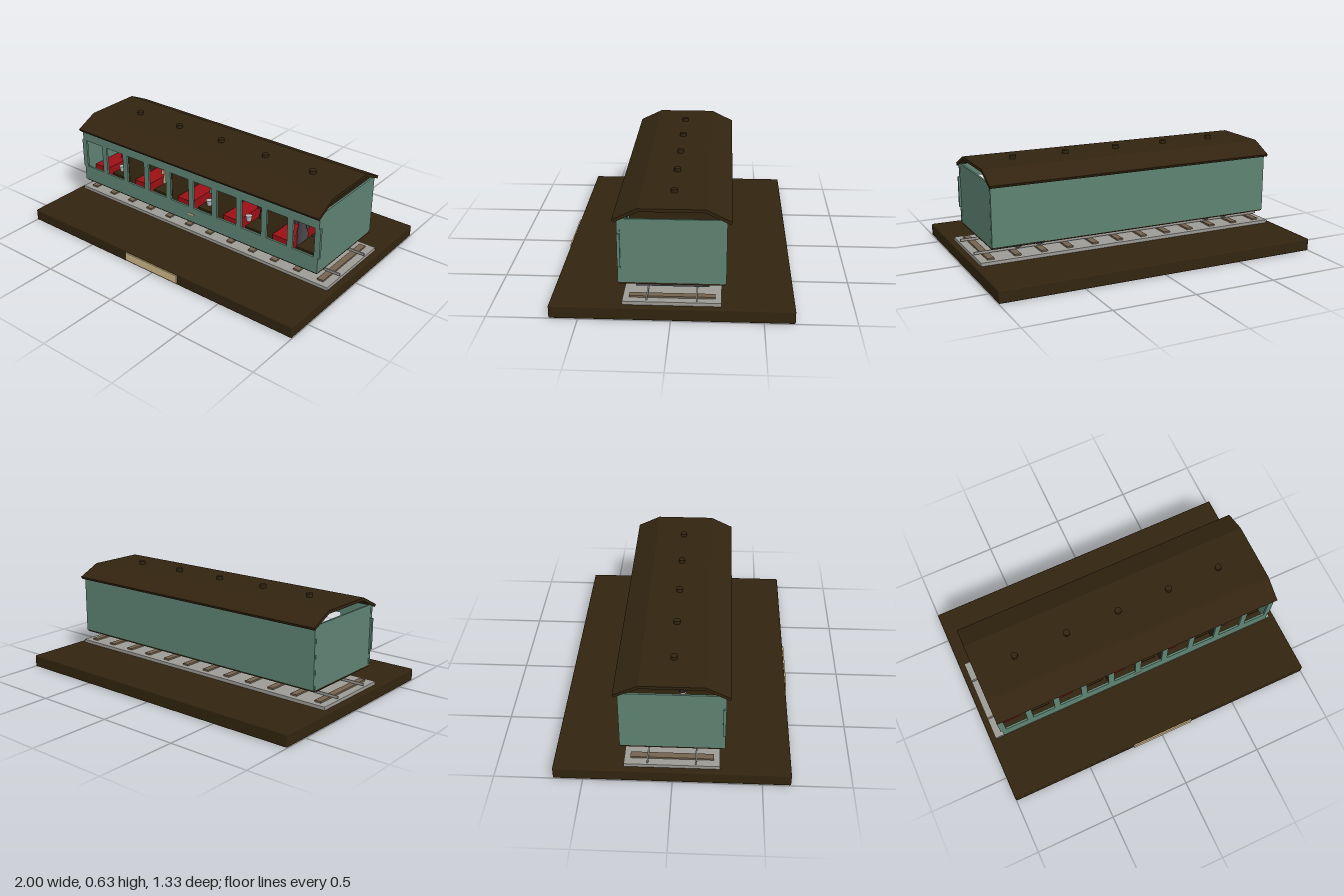
import * as THREE from 'three';
import { RoundedBoxGeometry } from 'three/addons/geometries/RoundedBoxGeometry.js';

export function createModel() {
  const model = new THREE.Group();
  const mat = (name, color) => {
    const m = new THREE.MeshStandardMaterial({ color });
    m.name = name;
    return m;
  };
  const green = mat('carriage green', 0x5e8373);
  const brown = mat('dark brown wood', 0x32240f);
  const stone = mat('ballast grey', 0x9d9b96);
  const wood = mat('sleeper wood', 0x75634f);
  const red = mat('seat red', 0x9c1014);
  const iron = mat('dark iron', 0x48464a);
  const cream = mat('cream', 0xcfb98a);
  const skin = mat('skin', 0xc49a7c);
  const paper = mat('paper white', 0xb9bdc0);
  const cloth = mat('dark cloth', 0x1f1c1e);

  // Everything but the plaque is centred slightly behind the origin
  const body = new THREE.Group();
  body.name = 'carriageDisplay';
  body.position.z = -0.004;
  model.add(body);

  const add = (name, geometry, material, x, y, z, parent = body) => {
    const m = new THREE.Mesh(geometry, material);
    m.name = name;
    m.position.set(x, y, z);
    parent.add(m);
    return m;
  };
  // Box given by its limits on each axis
  const box = (name, material, x0, x1, y0, y1, z0, z1) =>
    add(name, new THREE.BoxGeometry(x1 - x0, y1 - y0, z1 - z0), material,
      (x0 + x1) / 2, (y0 + y1) / 2, (z0 + z1) / 2);

  // Display base and plaque
  add('base', new RoundedBoxGeometry(2, 0.075, 1.326, 2, 0.008), brown, 0, 0.0375, 0);
  box('plaque', cream, -0.2, 0.2, 0.014, 0.066, 0.66, 0.671);

  // Track
  box('ballast', stone, -0.965, 0.965, 0.07, 0.095, -0.267, 0.267);
  for (let i = 0; i < 12; i++) {
    const x = (i - 5.5) * 0.163;
    box('sleeper', wood, x - 0.02, x + 0.02, 0.09, 0.105, -0.233, 0.233);
  }
  for (const s of [-1, 1]) {
    const z = s * 0.134;
    box('rail', stone, -0.965, 0.965, 0.105, 0.12, z - 0.004, z + 0.004);
  }

  // Running gear
  box('underframe', iron, -0.865, 0.865, 0.14, 0.173, -0.2, 0.2);
  for (const x of [-0.703, -0.57, 0.57, 0.703]) {
    for (const s of [-1, 1]) {
      const wheel = add('wheel', new THREE.CylinderGeometry(0.035, 0.035, 0.014, 24), iron, x, 0.15, s * 0.15);
      wheel.rotation.x = Math.PI / 2;
    }
  }

  // Carriage shell
  box('floor', brown, -0.905, 0.905, 0.171, 0.183, -0.285, 0.285);
  box('backWall', green, -0.905, 0.905, 0.18, 0.55, -0.292, -0.28);
  box('backLining', brown, -0.893, 0.893, 0.183, 0.545, -0.28, -0.276);
  for (const s of [-1, 1]) {
    add('endWall', new THREE.BoxGeometry(0.012, 0.37, 0.56), green, s * 0.9, 0.365, 0);
  }
  box('cornerPost', green, -0.908, -0.894, 0.18, 0.55, 0.277, 0.281);
  box('cornerPost', green, 0.894, 0.908, 0.18, 0.55, 0.277, 0.281);

  // Front wall with ten windows
  const rect = (Type, x0, x1, y0, y1) => {
    const p = new Type();
    p.moveTo(x0, y0);
    p.lineTo(x1, y0);
    p.lineTo(x1, y1);
    p.lineTo(x0, y1);
    p.closePath();
    return p;
  };
  const wall = rect(THREE.Shape, -0.908, 0.908, 0.18, 0.55);
  for (let i = 0; i < 10; i++) {
    const x = (i - 4.5) * 0.18;
    wall.holes.push(rect(THREE.Path, x - 0.071, x + 0.071, 0.28, 0.465));
  }
  add('frontWall', new THREE.ExtrudeGeometry(wall, { depth: 0.013, bevelEnabled: false }), green, 0, 0, 0.28);
  for (const s of [-1, 1]) {
    add('windowBandEnd', new THREE.BoxGeometry(0.014, 0.188, 0.016), green, s * 0.911, 0.372, 0.285);
  }
  box('wallBadge', cream, -0.022, 0.022, 0.227, 0.237, 0.292, 0.295);

  // Compartments: partitions, benches and tables
  for (let i = 1; i < 5; i++) {
    const x = -0.9 + i * 0.36;
    box('partition', brown, x - 0.007, x + 0.007, 0.183, 0.545, -0.276, 0.265);
  }
  for (let i = 0; i < 5; i++) {
    const x = -0.9 + i * 0.36;
    box('bench', red, x + 0.012, x + 0.125, 0.183, 0.265, -0.27, 0.22);
    box('table', brown, x + 0.2, x + 0.32, 0.26, 0.272, 0.1, 0.25);
    box('tableLeg', brown, x + 0.25, x + 0.27, 0.183, 0.26, 0.17, 0.19);
  }
  const cup = (x) => add('cup', new THREE.CylinderGeometry(0.02, 0.014, 0.035, 16), paper, x, 0.29, 0.19);
  [-0.67, 0.06, 0.36, 0.84].forEach(cup);
  box('notice', paper, -0.133, -0.02, 0.34, 0.435, -0.276, -0.272);

  // Passengers: coat, head, hat and arms
  const passenger = (x, z, top, coat, hat) => {
    const g = new THREE.Group();
    g.name = 'passenger';
    g.position.set(x, 0, z);
    body.add(g);
    const h = top - 0.055 - 0.183;
    const profile = [[0.036, 0], [0.034, 0.4], [0.026, 0.65], [0.032, 0.88], [0.01, 1]]
      .map(([r, t]) => new THREE.Vector2(r, t * h));
    const coatMesh = add('coat', new THREE.LatheGeometry(profile, 16), coat, 0, 0.183, 0, g);
    coatMesh.material.side = THREE.DoubleSide;
    add('head', new THREE.SphereGeometry(0.02, 16, 12), skin, 0, top - 0.035, 0, g);
    add('hat', new THREE.SphereGeometry(0.022, 16, 8, 0, Math.PI * 2, 0, Math.PI / 2), hat, 0, top - 0.03, -0.002, g);
    for (const s of [-1, 1]) {
      const arm = add('arm', new THREE.CapsuleGeometry(0.009, 0.06, 4, 8), coat, s * 0.034, top - 0.105, 0.008, g);
      arm.rotation.z = s * 0.2;
    }
  };
  passenger(-0.76, 0.05, 0.42, red, cloth);
  passenger(-0.675, 0.05, 0.42, cloth, cloth);
  passenger(-0.37, 0.08, 0.43, cream, cloth);
  passenger(0.06, 0.12, 0.455, green, cloth);
  passenger(0.41, 0.1, 0.465, cloth, iron);
  passenger(0.68, 0.1, 0.455, iron, cloth);

  // Roof: flat top with two sloping sides
  const half = [[0.18, 0.612], [0.318, 0.545], [0.31, 0.53], [0.176, 0.594]];
  const outline = [
    ...half,
    ...half.slice().reverse().map(([z, y]) => [-z, y]),
  ];
  const roof = new THREE.Shape(outline.map(([z, y]) => new THREE.Vector2(z, y)));
  const roofMesh = add('roof', new THREE.ExtrudeGeometry(roof, { depth: 1.83, bevelEnabled: false }), brown, 0.915, 0, 0);
  roofMesh.rotation.y = -Math.PI / 2;

  // Roof vents
  for (let i = -2; i <= 2; i++) {
    add('roofVent', new THREE.CylinderGeometry(0.02, 0.02, 0.024, 20), brown, i * 0.333, 0.62, 0);
  }
  return model;
}
